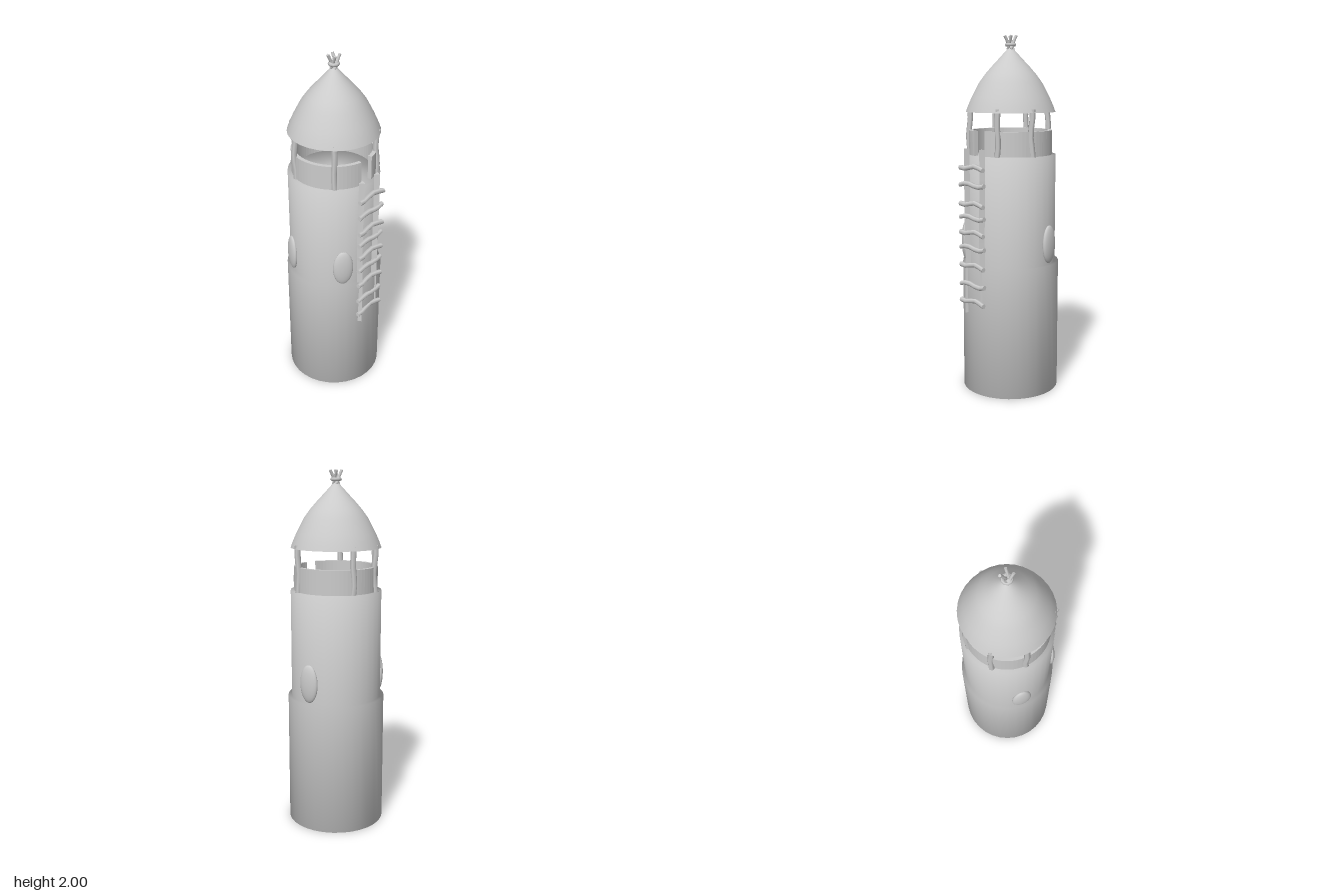
import * as THREE from 'three';

const grey = new THREE.MeshStandardMaterial({ color: 0xcccccc, side: THREE.DoubleSide });
const greyFlat = new THREE.MeshStandardMaterial({ color: 0xcccccc, flatShading: true });
const UP = new THREE.Vector3(0, 1, 0);
const CZ = -0.01; // tower axis sits slightly behind the centre

function add(parent, name, geometry, material = grey) {
  const mesh = new THREE.Mesh(geometry, material);
  mesh.name = name;
  parent.add(mesh);
  return mesh;
}

// Crooked stick from a to b: a capped cylinder whose rows are shifted sideways
function stick(parent, name, a, b, { r = 0.014, sides = 6, wobble = 0.006, phase = 0, material = grey } = {}) {
  const from = new THREE.Vector3(...a), to = new THREE.Vector3(...b);
  const length = from.distanceTo(to);
  const geo = new THREE.CylinderGeometry(r, r, length, sides, 5);
  const p = geo.attributes.position;
  for (let i = 0; i < p.count; i++) {
    const t = p.getY(i) / length + 0.5;
    p.setX(i, p.getX(i) + wobble * Math.sin(t * 7 + phase));
    p.setZ(i, p.getZ(i) + wobble * 0.5 * Math.cos(t * 5 + phase * 2));
  }
  const mesh = add(parent, name, geo, material);
  mesh.position.copy(from).add(to).multiplyScalar(0.5);
  mesh.quaternion.setFromUnitVectors(UP, to.sub(from).normalize());
  return mesh;
}

function lathe(points) {
  return new THREE.LatheGeometry(points.map(([x, y]) => new THREE.Vector2(x, y)), 32);
}

export function createModel() {
  const model = new THREE.Group();
  model.name = 'watchtower';
  const tower = new THREE.Group();
  tower.name = 'tower';
  tower.position.z = CZ;
  model.add(tower);

  // Stepped tower body with floor and underside, softly shaded over its edges
  add(tower, 'towerBody', lathe([
    [0, 0], [0.273, 0], [0.273, 0.74], [0.253, 0.74], [0.253, 1.345], [0, 1.345],
  ]));

  // Parapet ring with an entrance gap at the front
  const gap = 0.18;
  const ring = new THREE.Shape();
  ring.absarc(0, 0, 0.232, -Math.PI / 2 + gap, Math.PI * 1.5 - gap, false);
  ring.absarc(0, 0, 0.21, Math.PI * 1.5 - gap, -Math.PI / 2 + gap, true);
  const parapet = new THREE.ExtrudeGeometry(ring, { depth: 0.135, bevelEnabled: false, curveSegments: 32 });
  parapet.rotateX(-Math.PI / 2);
  add(tower, 'parapet', parapet).position.y = 1.345;

  // Crooked posts carrying the roof
  [60, 13, -72, -114, -160, 138].forEach((deg, i) => {
    const a = THREE.MathUtils.degToRad(deg);
    const x = 0.231 * Math.cos(a), z = 0.231 * Math.sin(a);
    stick(tower, 'roofPost', [x, 1.345, z], [x, 1.6, z], { r: 0.016, phase: i * 1.7 });
  });

  // Bell-shaped roof, closed underneath
  add(tower, 'roof', lathe([
    [0.25, 1.58], [0.237, 1.615], [0.217, 1.66], [0.175, 1.74], [0.142, 1.785],
    [0.11, 1.822], [0.063, 1.872], [0.03, 1.908], [0, 1.94],
  ]));
  const soffit = new THREE.CircleGeometry(0.25, 32);
  soffit.rotateX(Math.PI / 2);
  add(tower, 'roofUnderside', soffit).position.y = 1.58;

  // Bundle of splayed sticks tied at the peak
  const tie = new THREE.TorusGeometry(0.022, 0.01, 6, 10);
  tie.rotateX(Math.PI / 2);
  add(tower, 'peakTie', tie).position.y = 1.945;
  for (let i = 0; i < 4; i++) {
    const pivot = new THREE.Group();
    pivot.name = 'peakStick';
    pivot.rotation.y = i * Math.PI / 2;
    tower.add(pivot);
    stick(pivot, 'stick', [-0.008, 1.92, 0.012], [0.026, 1.994, 0.018], { r: 0.008, wobble: 0.001 });
  }

  // Oval bulging windows around the upper wall
  for (const [x, z] of [[-0.155, 0.205], [0.25, -0.06], [-0.228, -0.112]]) {
    const oval = add(tower, 'ovalWindow', new THREE.SphereGeometry(1, 20, 14));
    oval.scale.set(0.057, 0.107, 0.022);
    oval.position.set(x, 0.855, z);
    oval.rotation.y = Math.atan2(x, z);
  }

  // Ladder: three-sided rails partly sunk into the base, crooked rungs
  const ladder = new THREE.Group();
  ladder.name = 'ladder';
  model.add(ladder);
  [-0.073, 0.053].forEach((x, i) => stick(ladder, 'ladderRail', [x, 0.46 + i * 0.08, 0.248], [x, 1.385, 0.25],
    { r: 0.018, sides: 3, wobble: 0.003, phase: i * 2, material: greyFlat }));
  [0.535, 0.63, 0.74, 0.84, 0.925, 1.01, 1.085, 1.19, 1.285].forEach((y, i) =>
    stick(ladder, 'ladderRung', [-0.108, y, 0.265], [0.086, y, 0.265],
      { r: 0.014, wobble: 0.008, phase: i % 2 ? 2.6 : 0.4 }));

  return model;
}
